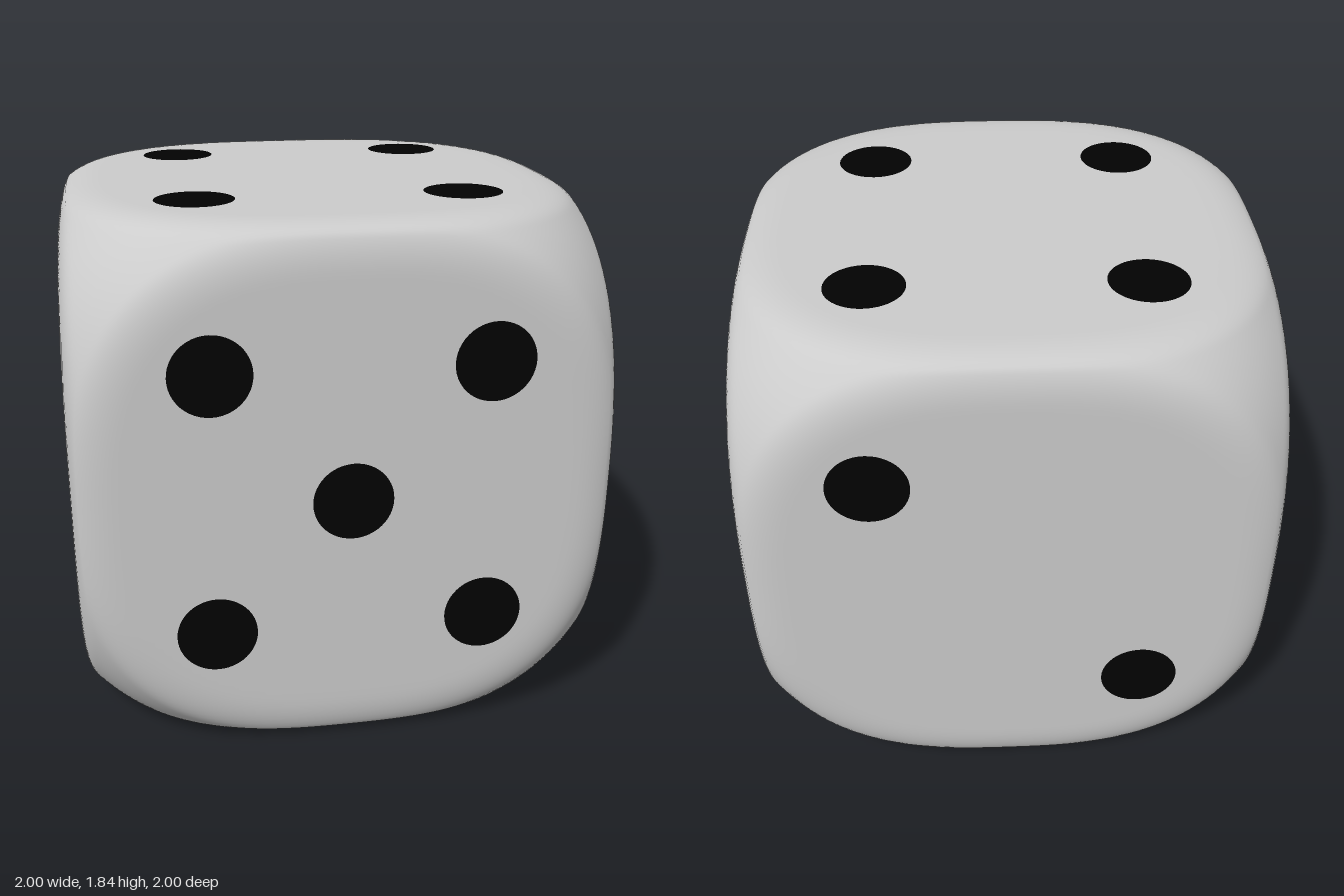
import * as THREE from 'three';
import { mergeVertices } from 'three/addons/utils/BufferGeometryUtils.js';

const HALF = 0.916;     // half the distance between opposite faces
const EDGE = 1.26;      // distance from the centre to the middle of an edge
const POWER = 2.65;     // squareness of the rounded solid that trims the cube
const BLEND = 0.07;     // softness where flat faces meet the rounding
const STEP = 0.458;     // pip offset from a face centre
const PIP_RADIUS = 0.135;

// Cube trimmed by a superellipsoid, with a soft transition between the two
function bodyGeometry() {
  const box = new THREE.BoxGeometry(2, 2, 2, 64, 64, 64);
  box.deleteAttribute('uv');
  box.deleteAttribute('normal');
  const geometry = mergeVertices(box, 1e-4);
  const pos = geometry.attributes.position;
  const v = new THREE.Vector3();
  const norm = (x, y, z) =>
    (Math.abs(x) ** POWER + Math.abs(y) ** POWER + Math.abs(z) ** POWER) ** (1 / POWER);
  const size = EDGE * norm(Math.SQRT1_2, Math.SQRT1_2, 0);
  for (let i = 0; i < pos.count; i++) {
    v.fromBufferAttribute(pos, i);
    const toCube = v.length() * HALF;
    const toRound = v.length() * size / norm(v.x, v.y, v.z);
    const h = Math.max(BLEND - Math.abs(toCube - toRound), 0) / BLEND;
    v.setLength(Math.min(toCube, toRound) - h * h * BLEND / 4);
    pos.setXYZ(i, v.x, v.y, v.z);
  }
  geometry.computeVertexNormals();
  return geometry;
}

export function createModel() {
  const model = new THREE.Group();
  model.name = 'die';
  model.position.y = HALF;
  model.rotation.y = 0.114;

  const body = new THREE.Mesh(bodyGeometry(), new THREE.MeshStandardMaterial({ color: 0xcccccc }));
  body.name = 'body';
  model.add(body);

  // Pip layouts in each face's own plane, in units of STEP
  const corners = [[-1, -1], [1, -1], [-1, 1], [1, 1]];
  const q = Math.PI / 2;
  const faces = [
    { name: 'frontPips', rot: [0, 0, 0], spots: [...corners, [0, 0]] },
    { name: 'leftSidePips', rot: [0, q, 0], spots: [...corners, [0, -1], [0, 1]] },
    { name: 'rightSidePips', rot: [0, -q, 0], spots: [[0, 0]] },
    { name: 'backPips', rot: [0, 2 * q, 0], spots: [[-1, 1], [1, -1]] },
    { name: 'topPips', rot: [-q, 0, 0], spots: corners },
    { name: 'bottomPips', rot: [q, 0, 0], spots: [[-1, -1], [0, 0], [1, 1]] },
  ];

  // Flush black discs, just proud of the flat faces
  const disc = new THREE.CircleGeometry(PIP_RADIUS, 48);
  const black = new THREE.MeshStandardMaterial({ color: 0x020202 });
  for (const { name, rot, spots } of faces) {
    const face = new THREE.Group();
    face.name = name;
    face.rotation.set(...rot);
    for (const [x, y] of spots) {
      const pip = new THREE.Mesh(disc, black);
      pip.name = 'pip';
      pip.position.set(x * STEP, y * STEP, HALF + 0.002);
      face.add(pip);
    }
    model.add(face);
  }

  const root = new THREE.Group();
  root.add(model);
  return root;
}
